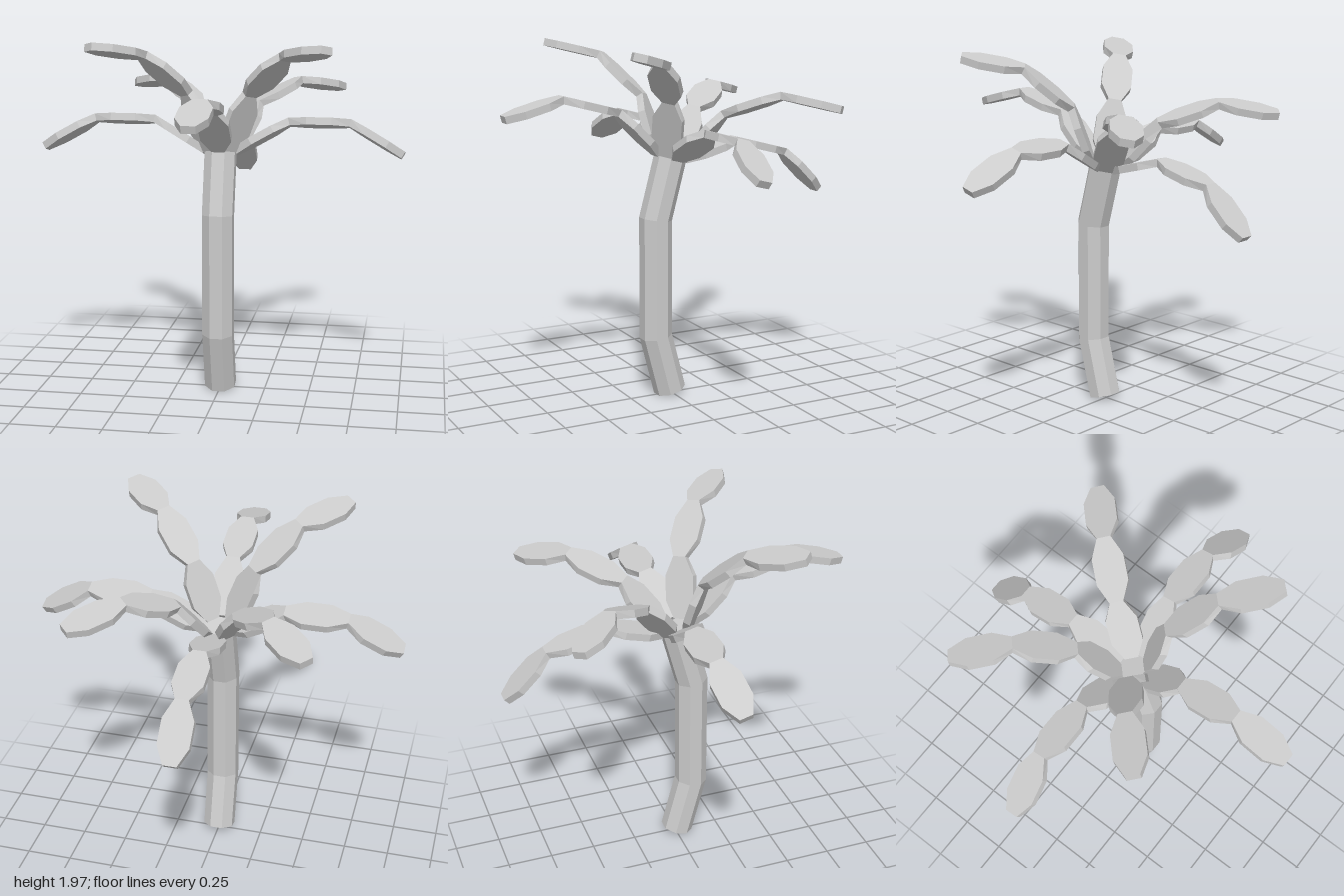
import * as THREE from 'three';

const material = new THREE.MeshStandardMaterial({ color: 0xcccccc, flatShading: true });
const rad = THREE.MathUtils.degToRad;

// Sweeps sections along a path of [z, y] points in the YZ plane, mitred at the bends.
// section(i) returns a counter-clockwise loop of [across, normal] offsets.
function sweep(path, section) {
  const dir = (a, b) => new THREE.Vector2(b[0] - a[0], b[1] - a[1]).normalize();
  const rings = path.map((p, i) => {
    const before = dir(path[Math.max(i - 1, 0)], path[Math.max(i, 1)]);
    const last = path.length - 1;
    const after = dir(path[Math.min(i, last - 1)], path[Math.min(i + 1, last)]);
    const t = before.clone().add(after).normalize();
    const stretch = 1 / t.dot(before);
    return section(i).map(([u, w]) =>
      new THREE.Vector3(u, p[1] + w * t.x * stretch, p[0] - w * t.y * stretch));
  });
  const points = [];
  const n = rings[0].length;
  for (let r = 0; r < rings.length - 1; r++) {
    const a = rings[r], b = rings[r + 1];
    for (let i = 0; i < n; i++) {
      const j = (i + 1) % n;
      points.push(a[i], a[j], b[j], a[i], b[j], b[i]);
    }
  }
  // End caps
  const first = rings[0], end = rings[rings.length - 1];
  for (let i = 1; i < n - 1; i++) {
    points.push(first[0], first[i + 1], first[i], end[0], end[i], end[i + 1]);
  }
  const geometry = new THREE.BufferGeometry().setFromPoints(points);
  geometry.computeVertexNormals();
  return geometry;
}

// Palm leaf: three octagonal plates joined end to end, each drooping 30 degrees more
function frondGeometry(startAngle, baseRadius) {
  const length = 0.33, taper = 0.097, wide = 0.083, narrow = 0.036, half = 0.02;
  const path = [[baseRadius, 0]];
  const widths = [narrow];
  for (let s = 0; s < 3; s++) {
    const angle = rad(startAngle - 30 * s);
    const [z, y] = path[path.length - 1];
    for (const [d, w] of [[taper, wide], [length - taper, wide], [length, narrow]]) {
      path.push([z + d * Math.cos(angle), y + d * Math.sin(angle)]);
      widths.push(w);
    }
  }
  return sweep(path, (i) => {
    const w = widths[i];
    return [[w, -half], [w, half], [-w, half], [-w, -half]];
  });
}

export function createModel() {
  const palm = new THREE.Group();
  palm.name = 'palmTree';

  // Bent octagonal trunk
  const octagon = Array.from({ length: 8 }, (_, i) => {
    const a = (i + 0.5) * Math.PI / 4;
    return [0.09 * Math.cos(a), 0.09 * Math.sin(a)];
  });
  const trunk = new THREE.Mesh(
    sweep([[0.01, 0.022], [0.095, 0.345], [0.095, 1.01], [0.005, 1.345]], () => octagon), material);
  trunk.name = 'trunk';
  palm.add(trunk);

  // Crown follows the backward lean of the trunk top
  const crown = new THREE.Group();
  crown.name = 'crown';
  crown.position.set(0, 1.35, 0.005);
  crown.rotation.x = rad(-15);
  palm.add(crown);

  // Low fronds alternate with steeper ones
  const low = frondGeometry(30, 0.083);
  const high = frondGeometry(60, 0.075);
  for (let i = 0; i < 8; i++) {
    const frond = new THREE.Mesh(i % 2 ? high : low, material);
    frond.name = i % 2 ? 'highFrond' : 'lowFrond';
    frond.rotation.y = i * Math.PI / 4;
    crown.add(frond);
  }
  return palm;
}
